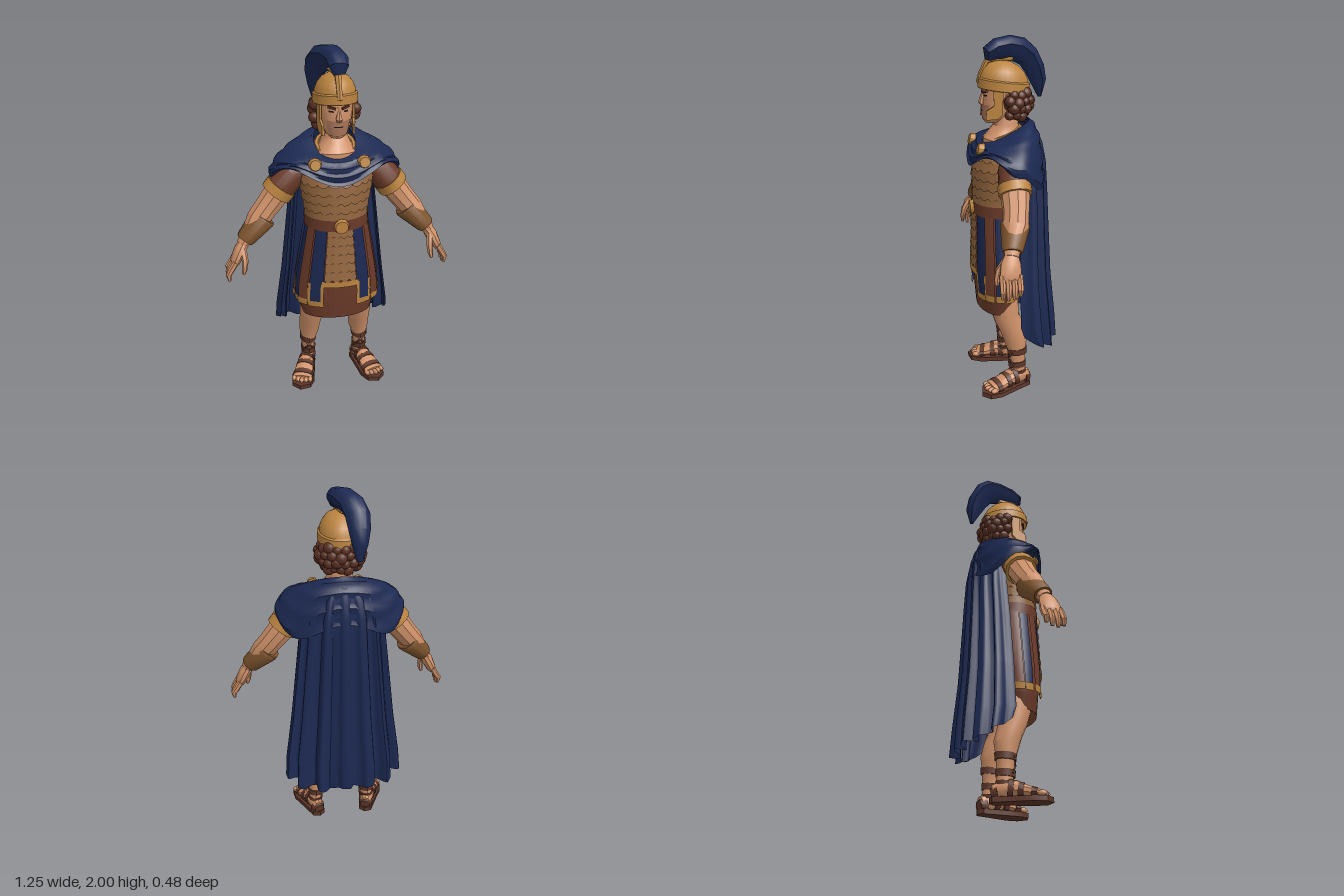
import * as THREE from 'three';
import { mergeGeometries, toCreasedNormals } from 'three/addons/utils/BufferGeometryUtils.js';

const V = (x, y, z) => new THREE.Vector3(x, y, z);
const { lerp, smoothstep } = THREE.MathUtils;
const mat = (name, color) => {
  const m = new THREE.MeshStandardMaterial({ color, side: THREE.DoubleSide });
  m.name = name;
  return m;
};

// Skin a list of point rows; rows may wrap round and be capped at both ends.
function loft(rows, wrap = true, cap = false) {
  if (cap) {
    const mid = r => { const c = V(0, 0, 0); r.forEach(p => c.add(p)); c.divideScalar(r.length); return r.map(() => c); };
    rows = [mid(rows[0]), ...rows, mid(rows[rows.length - 1])];
  }
  const n = rows[0].length, idx = [];
  for (let i = 0; i < rows.length - 1; i++) {
    for (let j = 0; j < (wrap ? n : n - 1); j++) {
      const k = (j + 1) % n, a = i * n + j, b = i * n + k;
      idx.push(a, b, b + n, a, b + n, a + n);
    }
  }
  const g = new THREE.BufferGeometry().setFromPoints(rows.flat());
  g.setIndex(idx);
  return g;
}

// Elliptical tube along points [x, y, z, radius along ref, other radius].
function limb(path, ref = V(1, 0, 0), cap = true, n = 10) {
  const c = path.map(p => V(p[0], p[1], p[2]));
  return loft(path.map((p, i) => {
    const T = c[Math.min(i + 1, c.length - 1)].clone().sub(c[Math.max(i - 1, 0)]).normalize();
    const u = ref.clone().addScaledVector(T, -ref.dot(T)).normalize(), v = u.clone().cross(T);
    return Array.from({ length: n }, (_, j) => {
      const t = j / n * Math.PI * 2;
      return c[i].clone().addScaledVector(u, Math.sin(t) * p[3]).addScaledVector(v, Math.cos(t) * p[4]);
    });
  }), true, cap);
}

// Upright surface from [y, rx, rz, centre z] rows; angle 0 is the front.
const profile = rows => (t, y, off = 0) => {
  let i = 0;
  while (i < rows.length - 2 && y > rows[i + 1][0]) i++;
  const a = rows[i], b = rows[i + 1], k = (y - a[0]) / (b[0] - a[0]);
  return V(Math.sin(t) * (lerp(a[1], b[1], k) + off), y, lerp(a[3], b[3], k) + Math.cos(t) * (lerp(a[2], b[2], k) + off));
};

// Piece of a profile surface, with an optional scalloped, flared lower edge.
function patch(S, t0, t1, y0, y1, off, nt = 6, ny = 4, jag = 0) {
  return loft(Array.from({ length: ny + 1 }, (_, i) => Array.from({ length: nt + 1 }, (_, j) => {
    const low = i === 0 ? 1 : 0;
    return S(lerp(t0, t1, j / nt), lerp(y0, y1, i / ny) + low * jag * (j % 3 === 0 ? 1 : 0), off + (low && jag ? 0.008 : 0));
  })), false);
}

export function createModel() {
  const root = new THREE.Group();
  const navy = mat('navy cloth', 0x1c2952), gold = mat('gold', 0xbb8440), bronze = mat('bronze scales', 0x8f633c);
  const brown = mat('brown tunic', 0x6a3a29), skin = mat('skin', 0xcf9169), hairM = mat('hair', 0x5a3023);
  const leather = mat('sandal leather', 0x5e372a), bracerM = mat('bracer leather', 0x80562f);
  const stubble = mat('stubble', 0xa9755a), dark = mat('dark', 0x1c1412);
  const add = (name, geo, m, parent = root) => {
    const mesh = new THREE.Mesh(toCreasedNormals(geo, 0.6), m);
    mesh.name = name;
    parent.add(mesh);
    return mesh;
  };
  const PI = Math.PI;

  // Tunic, with armour and skirt strips laid over the same surface
  const body = profile([[0.48, 0.205, 0.115, 0.1], [0.6, 0.235, 0.13, 0.095], [0.72, 0.225, 0.14, 0.09], [1.05, 0.165, 0.135, 0.085],
    [1.1, 0.165, 0.135, 0.085], [1.3, 0.195, 0.14, 0.083], [1.4, 0.19, 0.125, 0.07], [1.45, 0.13, 0.105, 0.055]]);
  add('tunic', patch(body, -PI, PI, 0.48, 1.45, -0.004, 32, 24), brown);
  const scales = [], panel = [];
  for (let i = 0; i < 6; i++) scales.push(patch(body, -PI, PI, 1.09 + i * 0.052, 1.15 + i * 0.052, 0.002, 60, 1, 0.014));
  for (let i = 0; i < 6; i++) panel.push(patch(body, -0.4, 0.4, 0.735 + i * 0.054, 0.795 + i * 0.054, 0.008, 12, 1, 0.012));
  add('scaleCuirass', mergeGeometries(scales), bronze);
  add('scaleApron', mergeGeometries(panel), bronze);
  add('apronHem', patch(body, -0.46, 0.46, 0.7, 0.738, 0.016, 8, 1), gold);
  add('belt', patch(body, -PI, PI, 1.045, 1.11, 0.013, 32, 1), brown);
  const buckle = add('beltBuckle', new THREE.CylinderGeometry(0.036, 0.045, 0.025, 10).rotateX(PI / 2), gold);
  buckle.position.set(0.005, 1.075, 0.235);

  const strips = { blue: [], brown: [], trim: [] };
  for (const s of [-1, 1]) {
    // bordered front strip
    strips.blue.push(patch(body, s * 0.62 - 0.2, s * 0.62 + 0.2, 0.57, 1.05, 0.009));
    strips.trim.push(patch(body, s * 0.62 - 0.22, s * 0.62 + 0.22, 0.565, 0.603, 0.013, 6, 1));
    for (const e of [-1, 1]) {
      const t = s * 0.62 + e * 0.18;
      strips.trim.push(patch(body, t - 0.04, t + 0.04, 0.58, 0.72, 0.013, 2, 2));
    }
    // alternating side and back strips
    for (let i = 0; i < 6; i++) {
      const t = s * (1.0 + i * 0.38), off = i % 2 ? 0.008 : 0.017;
      (i % 2 ? strips.blue : strips.brown).push(patch(body, t - 0.17, t + 0.17, 0.59, 1.05, off));
      strips.trim.push(patch(body, t - 0.175, t + 0.175, 0.575, 0.615, off + 0.004, 6, 1));
    }
  }
  add('blueSkirtStrips', mergeGeometries(strips.blue), navy);
  add('brownSkirtStrips', mergeGeometries(strips.brown), brown);
  add('skirtStripTrim', mergeGeometries(strips.trim), gold);

  // Pleated cape hanging from the shoulders: [y, half width, side z, back z]
  const capeRows = [[0.29, 0.335, 0.0, -0.205], [0.45, 0.33, 0.02, -0.2], [0.7, 0.295, 0.02, -0.18], [1.0, 0.262, 0.01, -0.17],
    [1.2, 0.24, 0.0, -0.166], [1.34, 0.225, 0.0, -0.163], [1.44, 0.19, 0.0, -0.15], [1.52, 0.12, 0.01, -0.12]];
  add('cape', loft(capeRows.map(([y, w, zs, zb], i) => Array.from({ length: 121 }, (_, j) => {
    const u = j / 60 - 1, a = u * PI / 2, amp = lerp(0.034, 0.003, i / 7) * (1 - 0.4 * Math.exp(-60 * u * u));
    const fold = amp * (Math.tanh(1.8 * Math.cos(u * 2 * PI / 0.27)) + 0.2 * Math.cos(u * 41 + 1));
    const hem = i === 0 ? 0.1 * u ** 4 + 0.012 * Math.cos(u * 19) * (1 - u * u) : 0;
    return V(Math.sin(a) * (w + fold * 0.6), y + hem, lerp(zs, zb, Math.cos(a) ** 0.8) - fold * (0.3 + 0.7 * Math.cos(a)));
  })), false), navy);

  // Mantle draped over chest and shoulders, hanging lower behind the arms
  const mantle = [];
  for (let i = 0; i <= 12; i++) {
    const v = i / 12, k = Math.cos(v * PI / 2), h = Math.sin(v * PI / 2);
    mantle.push(Array.from({ length: 64 }, (_, j) => {
      const t = j / 64 * PI * 2, c = Math.cos(t), s = Math.sin(t);
      const edge = 1.315 + (c > 0 ? 0.09 : -0.09) * Math.sin(2 * t) ** 2;
      const wave = 0.008 * Math.sin(i * 2.1 + 2 * Math.cos(2 * t)) * (1 - v * 0.5);
      return V(s * (lerp(0.115, 0.36, k) + wave), lerp(edge, 1.5 - 0.06 * c, h), 0.04 + c * (lerp(0.125, c > 0 ? 0.2 : 0.195, k) + wave));
    }));
  }
  add('mantle', loft(mantle), navy);
  add('collar', new THREE.TorusGeometry(0.1, 0.015, 6, 20).rotateX(PI / 2 + 0.35).translate(0, 1.48, 0.055), gold);

  // Head and face
  add('neck', limb([[0, 1.41, 0.055, 0.135, 0.11], [0, 1.45, 0.055, 0.125, 0.11], [0, 1.49, 0.045, 0.085, 0.085], [0, 1.53, 0.038, 0.07, 0.07], [0, 1.62, 0.04, 0.065, 0.07]], V(1, 0, 0), true, 14), skin);
  const head = profile([[1.545, 0.035, 0.04, 0.11], [1.565, 0.058, 0.065, 0.1], [1.6, 0.075, 0.088, 0.079], [1.65, 0.085, 0.1, 0.068],
    [1.7, 0.09, 0.1, 0.062], [1.78, 0.09, 0.1, 0.055]]);
  add('face', loft([1.545, 1.565, 1.6, 1.65, 1.7, 1.78].map(y => Array.from({ length: 20 }, (_, j) => head(j / 20 * PI * 2, y))), true, true), skin);
  add('stubble', patch(head, -0.8, 0.8, 1.565, 1.645, 0.003, 8, 4), stubble);
  add('mouth', patch(head, -0.3, 0.3, 1.611, 1.617, 0.006, 4, 1), dark);
  add('nose', limb([[0, 1.715, 0.158, 0.009, 0.008], [0, 1.68, 0.168, 0.012, 0.012], [0, 1.655, 0.174, 0.019, 0.015], [0, 1.643, 0.166, 0.014, 0.01]], V(1, 0, 0), true, 6), skin);
  for (const s of [-1, 1]) {
    add('eye', patch(head, s * 0.42 - 0.14, s * 0.42 + 0.14, 1.69, 1.699, 0.004, 3, 1), dark);
    const brow = add('brow', new THREE.BoxGeometry(0.042, 0.011, 0.012), hairM);
    brow.position.set(s * 0.036, 1.714, 0.157);
    brow.rotation.set(0, s * 0.35, s * 0.25);
    // hanging cheek guard
    const cheek = new THREE.Shape([[0.07, 1.74], [0.075, 1.6], [0.1, 1.575], [0.165, 1.57], [0.16, 1.62], [0.12, 1.645], [0.125, 1.74]]
      .map(p => new THREE.Vector2(-p[0], p[1])));
    const g = new THREE.ExtrudeGeometry(cheek, { depth: 0.012, bevelEnabled: false }).rotateY(PI / 2);
    const guard = add('cheekGuard', g, gold);
    guard.position.x = s * 0.106 - 0.006;
    guard.rotation.y = -s * 0.16;
  }

  // Curly hair below the helmet
  const curls = [new THREE.IcosahedronGeometry(1, 2).scale(0.105, 0.09, 0.105).translate(0, 1.67, 0.015)];
  for (let r = 0; r < 4; r++) {
    for (let i = 0; i < 9; i++) {
      const t = PI * (0.46 + (i + (r % 2) * 0.5) / 8.5 * 1.08), k = [0.8, 1, 1.04, 0.95][r];
      curls.push(new THREE.IcosahedronGeometry(0.027 + 0.004 * ((i * 7 + r * 5) % 3), 1)
        .translate(Math.sin(t) * 0.11 * k, 1.592 + r * 0.036 + 0.006 * Math.sin(i * 2.3 + r), 0.025 + Math.cos(t) * 0.108 * k));
    }
  }
  add('curlyHair', mergeGeometries(curls), hairM);

  // Helmet, brow band and crest
  const ring = (y, rx, rz) => Array.from({ length: 24 }, (_, j) => {
    const t = j / 24 * PI * 2, z = Math.cos(t) * rz;
    return V(Math.sin(t) * rx, y + z * 0.12, 0.048 + z);
  });
  add('helmet', loft([ring(1.715, 0.114, 0.138), ring(1.785, 0.108, 0.13), ring(1.82, 0.093, 0.112), ring(1.85, 0.068, 0.082), ring(1.868, 0.035, 0.04), ring(1.873, 0.001, 0.001)]), gold);
  add('browBand', loft([ring(1.715, 0.114, 0.138), ring(1.718, 0.12, 0.143), ring(1.765, 0.118, 0.141), ring(1.772, 0.108, 0.132)]), gold);
  add('helmetRidge', limb([[0, 1.76, 0.192, 0.014, 0.008], [0, 1.81, 0.174, 0.016, 0.012], [0, 1.87, 0.14, 0.018, 0.015], [0, 1.88, 0.1, 0.022, 0.015], [-0.015, 1.88, 0, 0.022, 0.015]], V(1, 0, 0), true, 6), gold);
  // [inner z, inner y, outer z, outer y, half width] from brow to tail
  const fan = [[0.11, 1.87, 0.15, 1.88, 0.04], [0.09, 1.87, 0.157, 1.94, 0.065], [0.06, 1.87, 0.1, 1.985, 0.075], [0.03, 1.87, 0.01, 2, 0.08], [-0.01, 1.86, -0.08, 1.98, 0.085],
    [-0.05, 1.84, -0.145, 1.925, 0.085], [-0.08, 1.8, -0.188, 1.84, 0.075], [-0.115, 1.74, -0.202, 1.76, 0.055], [-0.16, 1.66, -0.178, 1.665, 0.02]];
  add('crest', loft(fan.map(([iz, iy, oz, oy, w]) => Array.from({ length: 16 }, (_, j) => {
    const t = j / 16 * PI * 2, a = (1 - Math.cos(t)) / 2;
    const z = lerp(iz, oz, a), y = lerp(iy, oy, a);
    return V(0.005 - 0.075 * smoothstep(-z, -0.1, 0.16) + Math.sin(t) * lerp(0.25, 1, a) * w * (j % 2 ? 1.08 : 0.95), y, z);
  })), true, true), navy);

  const zAxis = V(0, 0, 1);
  for (const s of [-1, 1]) {
    const side = s > 0 ? 'left' : 'right';
    const m = rows => rows.map(p => [s * p[0], ...p.slice(1)]);

    // Arm, sleeve and bracer
    const arm = new THREE.Group();
    arm.name = side + 'Arm';
    root.add(arm);
    add('sleeve', limb(m([[0.17, 1.36, 0.05, 0.06, 0.05], [0.23, 1.335, 0.05, 0.082, 0.08], [0.31, 1.245, 0.06, 0.084, 0.084]]), zAxis, false, 14), brown, arm);
    add('sleeveTrim', limb(m([[0.292, 1.268, 0.06, 0.088, 0.088], [0.325, 1.225, 0.06, 0.088, 0.088]]), zAxis, true, 14), gold, arm);
    add('bareArm', limb(m([[0.27, 1.3, 0.06, 0.072, 0.072], [0.33, 1.215, 0.062, 0.076, 0.073], [0.385, 1.145, 0.072, 0.068, 0.068], [0.43, 1.09, 0.085, 0.068, 0.066],
      [0.49, 1.01, 0.115, 0.048, 0.045], [0.525, 0.965, 0.128, 0.038, 0.034]]), zAxis), skin, arm);
    add('bracer', limb(m([[0.4, 1.1, 0.08, 0.074, 0.07], [0.408, 1.09, 0.082, 0.078, 0.073], [0.505, 0.993, 0.118, 0.056, 0.052], [0.512, 0.985, 0.12, 0.05, 0.047]]), zAxis, true, 12), bracerM, arm);
    add('palm', limb(m([[0.515, 0.975, 0.125, 0.035, 0.03], [0.54, 0.935, 0.135, 0.052, 0.034], [0.57, 0.875, 0.142, 0.058, 0.028], [0.575, 0.86, 0.142, 0.05, 0.02]]), zAxis), skin, arm);
    for (let f = 0; f < 4; f++) {
      const z = 0.096 + f * 0.03, d = [0.02, 0.004, 0, 0.01][f];
      add('finger', limb(m([[0.568, 0.885, z, 0.016, 0.017], [0.598, 0.835, z + 0.002, 0.016, 0.017], [0.612, 0.8 + d, z + 0.004, 0.015, 0.015], [0.607, 0.768 + d, z + 0.005, 0.009, 0.009]]), zAxis, true, 6), skin, arm);
    }
    add('thumb', limb(m([[0.525, 0.945, 0.16, 0.02, 0.02], [0.518, 0.895, 0.192, 0.018, 0.018], [0.522, 0.85, 0.203, 0.015, 0.015], [0.53, 0.82, 0.204, 0.009, 0.009]]), zAxis, true, 6), skin, arm);
    const brooch = add(side + 'Brooch', new THREE.CylinderGeometry(0.028, 0.037, 0.03, 10).rotateX(PI / 2 - 0.25), gold);
    brooch.position.set(s * 0.13, 1.428, 0.205);

    // Leg with ankle straps
    const leg = new THREE.Group();
    leg.name = side + 'Leg';
    root.add(leg);
    add('bareLeg', limb(m([[0.125, 0.64, 0.085, 0.08, 0.085], [0.138, 0.5, 0.075, 0.074, 0.08], [0.143, 0.44, 0.065, 0.068, 0.072], [0.148, 0.37, 0.035, 0.064, 0.07],
      [0.152, 0.3, 0.015, 0.06, 0.068], [0.158, 0.22, 0.01, 0.042, 0.05], [0.16, 0.14, 0.006, 0.036, 0.044], [0.16, 0.05, 0.0, 0.038, 0.046]]), V(1, 0, 0), true, 12), skin, leg);
    for (const [y0, y1, r] of [[0.215, 0.25, 0.049], [0.13, 0.165, 0.043], [0.085, 0.105, 0.043]]) {
      add('ankleStrap', limb(m([[0.159, y0, 0.008, r, r + 0.008], [0.158, y1, 0.01, r + 0.002, r + 0.01]]), V(1, 0, 0), true, 12), leather, leg);
    }
    for (const e of [-1, 1]) {
      add('crossStrap', limb(m([[0.16 + e * 0.032, 0.235, 0.042, 0.009, 0.005], [0.16, 0.19, 0.06, 0.009, 0.005], [0.16 - e * 0.034, 0.145, 0.034, 0.009, 0.005]]), V(1, 0, 0), true, 6), leather, leg);
    }

    // Sandalled foot, toes turned out
    const foot = new THREE.Group();
    foot.name = side + 'Foot';
    foot.position.set(s * 0.162, 0, 0);
    foot.rotation.y = s * 0.32;
    leg.add(foot);
    const half = [[0, -0.075], [0.038, -0.055], [0.045, 0], [0.057, 0.08], [0.069, 0.15], [0.055, 0.215]];
    const outline = [...half, [0, 0.245], ...half.slice(1).reverse().map(([x, z]) => [-x, z])].map(p => new THREE.Vector2(...p));
    add('sole', new THREE.ExtrudeGeometry(new THREE.Shape().setFromPoints(outline), { depth: 0.027, bevelEnabled: false }).rotateX(PI / 2).translate(0, 0.027, 0), leather, foot);
    add('bareFoot', limb([[0, 0.06, -0.055, 0.03, 0.035], [0, 0.07, 0, 0.042, 0.047], [0, 0.07, 0.06, 0.047, 0.045], [0, 0.055, 0.12, 0.056, 0.032], [0, 0.043, 0.185, 0.059, 0.02]]), skin, foot);
    for (let i = 0; i < 5; i++) {
      const x = (i - 2) * 0.024;
      add('toe', new THREE.IcosahedronGeometry(1, 1).scale(0.014, 0.015, 0.025).translate(x, 0.041, 0.203 - Math.abs(x) * 0.3), skin, foot);
    }
    for (const [z, y, w, h] of [[0.15, 0.047, 0.063, 0.033], [0.085, 0.061, 0.056, 0.045], [0.035, 0.07, 0.05, 0.051]]) {
      add('footStrap', limb([[0, y, z - 0.014, w - 0.002, h + 0.003], [0, y - 0.003, z + 0.014, w + 0.001, h - 0.002]], V(1, 0, 0), true, 12), leather, foot);
    }
    add('heelCup', limb([[0, 0.045, -0.064, 0.03, 0.03], [0, 0.05, -0.03, 0.044, 0.042]], V(1, 0, 0), true, 12), leather, foot);
  }
  return root;
}
